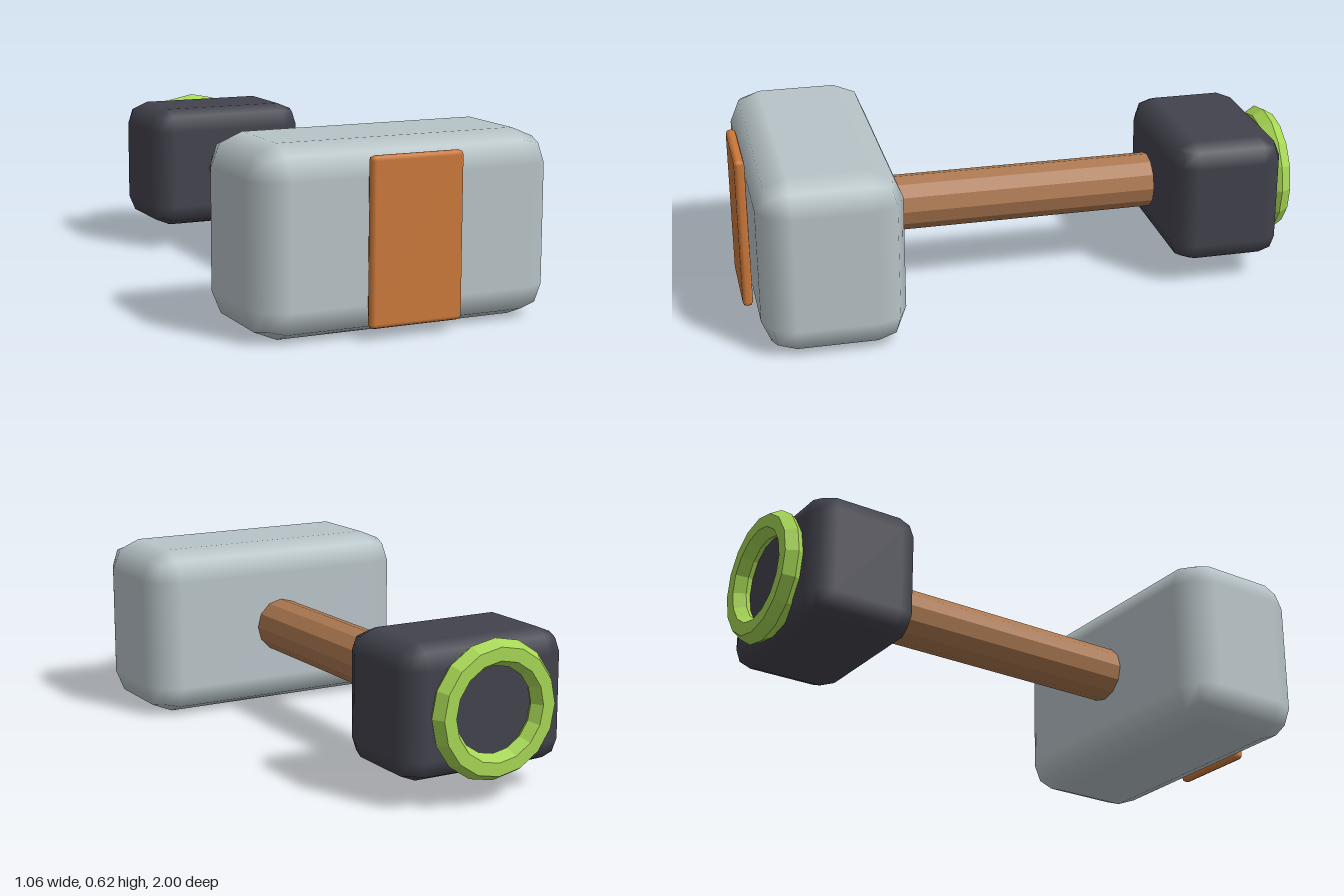
import * as THREE from 'three';
import { RoundedBoxGeometry } from 'three/addons/geometries/RoundedBoxGeometry.js';

const AXIS_Y = 0.3125; // height of the handle axis

function material(name, color, flatShading = false) {
  const m = new THREE.MeshStandardMaterial({ color, flatShading });
  m.name = name;
  return m;
}

export function createModel() {
  const group = new THREE.Group();
  group.name = 'hammer';

  const add = (name, geometry, mat, z) => {
    const mesh = new THREE.Mesh(geometry, mat);
    mesh.name = name;
    mesh.position.set(0, AXIS_Y, z);
    group.add(mesh);
    return mesh;
  };

  const steel = material('paleSteel', 0xb8c4c8);
  const copper = material('copper', 0xcb783a);
  const wood = material('brownWood', 0xac7850, true);
  const dark = material('darkSlate', 0x42424d);
  const green = material('limeGreen', 0xa6d654, true);

  // Heavy block at the front, with chamfer-like rounded edges
  add('head', new RoundedBoxGeometry(1.06, 0.625, 0.495, 1, 0.11), steel, 0.7145);

  // Thin copper plate on the striking side
  add('facePlate', new RoundedBoxGeometry(0.326, 0.55, 0.036, 1, 0.015), copper, 0.982);

  // Twelve-sided handle running back from the head
  const handle = new THREE.CylinderGeometry(0.1, 0.1, 1.03, 12);
  handle.rotateX(Math.PI / 2);
  add('handle', handle, wood, 0);

  // Dark block at the back end
  add('pommel', new RoundedBoxGeometry(0.62, 0.455, 0.405, 1, 0.08), dark, -0.7375);

  // Faceted ring on the back of the pommel
  add('pommelRing', new THREE.TorusGeometry(0.19, 0.045, 6, 16), green, -0.961);

  return group;
}
